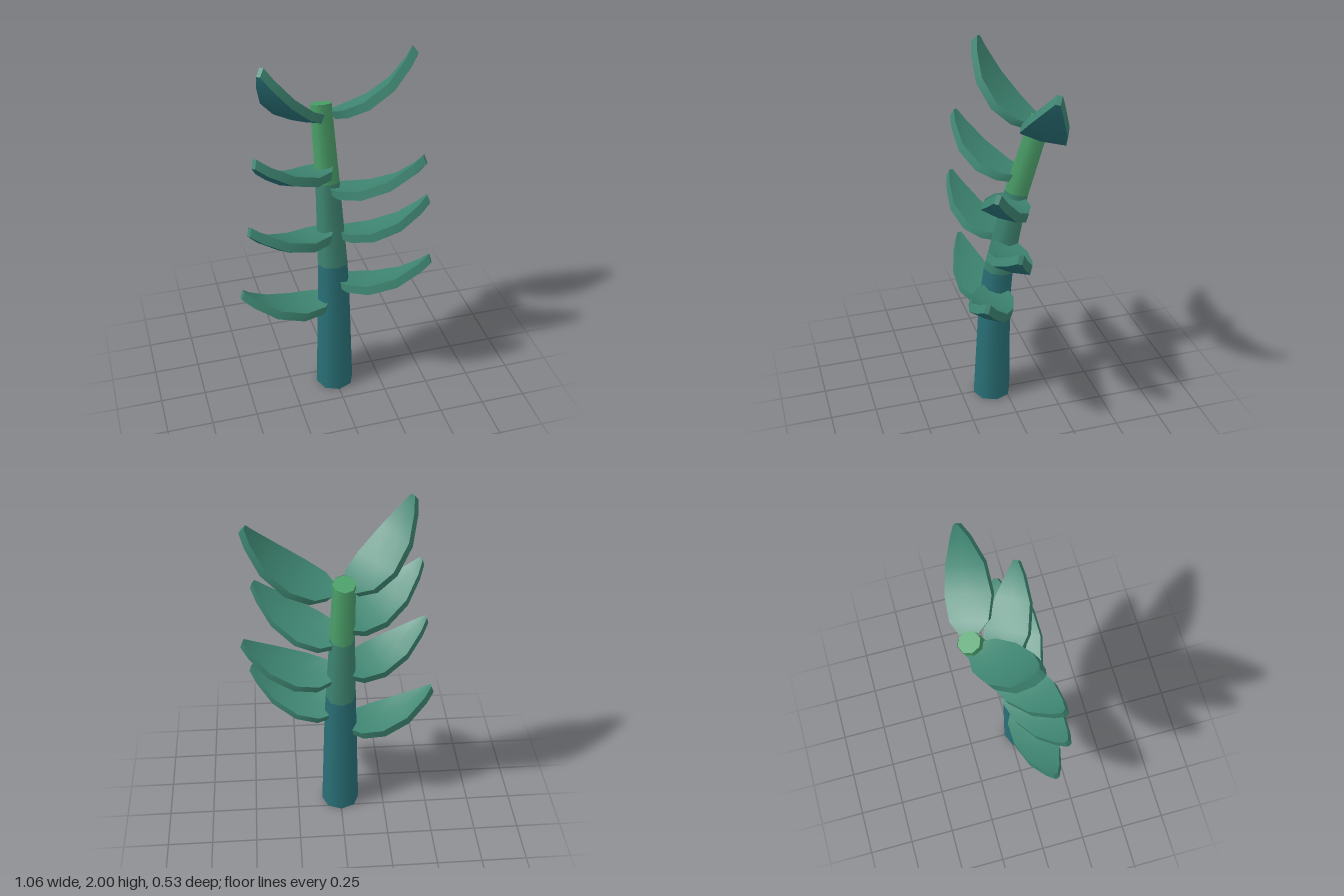
import * as THREE from 'three';

const material = (name, color) => {
  const m = new THREE.MeshStandardMaterial({ color, side: THREE.DoubleSide });
  m.name = name;
  return m;
};

// half width of a leaf at stations along its length: [u, halfWidth]
const OUTLINE = [[0, 0.04], [0.12, 0.098], [0.34, 0.118], [0.63, 0.096], [0.88, 0.045], [1, 0.012]];
const THICK = 0.048;
const SAG = 0.07;

// Thick spoon-shaped leaf from base to tip, its face turned towards "up"
function leafGeometry(base, tip, up) {
  const a = tip.clone().sub(base);
  const along = a.clone().normalize();
  const across = along.clone().cross(up).normalize();
  const normal = across.clone().cross(along);
  const geo = new THREE.BoxGeometry(1, 1, 1, OUTLINE.length - 1, 1, 2);
  const pos = geo.attributes.position;
  const v = new THREE.Vector3();
  for (let i = 0; i < pos.count; i++) {
    const [u, w] = OUTLINE[Math.round((pos.getX(i) + 0.5) * (OUTLINE.length - 1))];
    const s = pos.getZ(i) * 2;
    const lift = pos.getY(i) * THICK - SAG * 4 * u * (1 - u) + 0.1 * w * (s * s - 1);
    v.copy(base).addScaledVector(a, u).addScaledVector(across, s * w).addScaledVector(normal, lift);
    pos.setXYZ(i, v.x, v.y, v.z);
  }
  geo.computeVertexNormals(); // box sides stay separate, so the rim is sharp
  return geo;
}

// Eight-sided tapered stem piece between two rings [y, z, radius, tilt]
function stemGeometry([y0, z0, r0, k0], [y1, z1, r1, k1]) {
  const geo = new THREE.CylinderGeometry(r1, r0, 1, 8, 1, true);
  const pos = geo.attributes.position;
  for (let i = 0; i < pos.count; i++) {
    const z = pos.getZ(i);
    const [y, dz, k] = pos.getY(i) > 0 ? [y1, z1, k1] : [y0, z0, k0];
    pos.setY(i, y + k * z);
    pos.setZ(i, dz + z);
  }
  return geo;
}

export function createModel() {
  const group = new THREE.Group();
  const deepTeal = material('deep teal', 0x297076);
  const seaGreen = material('sea green', 0x3e8571);
  const freshGreen = material('fresh green', 0x4b9f69);
  const add = (name, geo, mat) => {
    const mesh = new THREE.Mesh(geo, mat);
    mesh.name = name;
    group.add(mesh);
    return mesh;
  };

  // stem, leaning back and lighter towards the top
  const rings = [
    [0, 0.073, 0.107, 0], [0.6, 0.053, 0.09, 0.08], [0.8, 0.03, 0.083, 0.16],
    [1.25, -0.07, 0.066, 0.26], [1.65, -0.198, 0.058, 0.3],
  ];
  const stemParts = [
    ['stemFoot', deepTeal], ['stemLower', deepTeal],
    ['stemMiddle', seaGreen], ['stemUpper', freshGreen],
  ];
  stemParts.forEach(([name, mat], i) => add(name, stemGeometry(rings[i], rings[i + 1]), mat));
  const [topY, topZ, topR, topTilt] = rings[rings.length - 1];
  const cap = new THREE.CircleGeometry(topR, 8, Math.PI / 2);
  cap.rotateX(-Math.PI / 2 - Math.atan(topTilt));
  cap.translate(0, topY, topZ);
  add('stemTop', cap, freshGreen);

  // leaves from the ground up: name, base, tip, backward tilt of the face
  const leaves = [
    ['rightLeaf1', [-0.03, 0.57, 0.045], [-0.52, 0.75, 0.12], 0.1],
    ['leftLeaf1', [0.02, 0.685, 0.04], [0.485, 0.87, 0.23], 0.27],
    ['rightLeaf2', [-0.01, 0.985, -0.01], [-0.475, 1.18, 0.175], 0.24],
    ['leftLeaf2', [0.035, 0.96, -0.015], [0.52, 1.145, 0.07], 0.28],
    ['rightLeaf3', [0, 1.325, -0.09], [-0.43, 1.555, 0.155], 0.24],
    ['leftLeaf3', [0.01, 1.215, -0.06], [0.45, 1.45, 0.165], 0.28],
    ['rightLeaf4', [-0.035, 1.595, -0.175], [-0.36, 1.98, 0.045], 0.16],
    ['leftLeaf4', [0.06, 1.59, -0.18], [0.475, 1.925, -0.12], 0.28],
  ];
  // box sides: tip, base, upper face, underside, two edges
  const leafColors = [seaGreen, seaGreen, seaGreen, deepTeal, seaGreen, seaGreen];
  for (const [name, base, tip, tilt] of leaves) {
    const up = new THREE.Vector3(0, 1, -tilt);
    add(name, leafGeometry(new THREE.Vector3(...base), new THREE.Vector3(...tip), up), leafColors);
  }
  return group;
}
